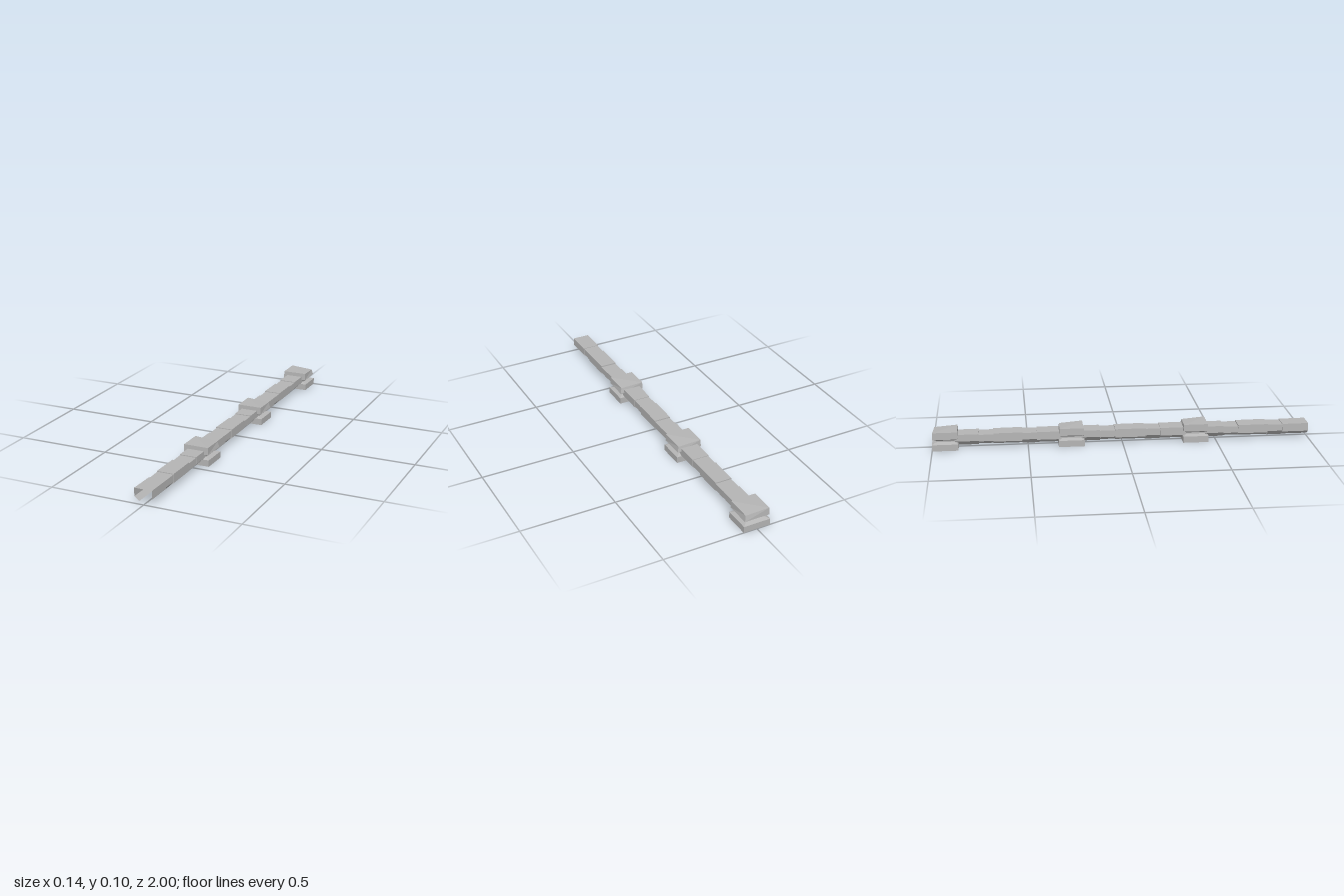
import * as THREE from 'three';

const stone = new THREE.MeshStandardMaterial({ color: 0xb4b4b4, side: THREE.DoubleSide });
stone.name = 'grey stone';

// Skins a list of cross-sections (equal point counts) with flat quads.
function loft(sections, closed) {
  const pos = [];
  for (let s = 0; s < sections.length - 1; s++) {
    const a = sections[s], b = sections[s + 1], n = a.length;
    for (let i = 0; i < (closed ? n : n - 1); i++) {
      const j = (i + 1) % n;
      pos.push(...a[i], ...a[j], ...b[j], ...a[i], ...b[j], ...b[i]);
    }
  }
  const g = new THREE.BufferGeometry();
  g.setAttribute('position', new THREE.Float32BufferAttribute(pos, 3));
  g.computeVertexNormals();
  return g;
}

function part(name, geometry) {
  const m = new THREE.Mesh(geometry, stone);
  m.name = name;
  return m;
}

// Open channel: top slab, upright sides and lower sides leaning inward.
function channel(z, top, half, knee, foot, footY) {
  return [
    [-foot, footY, z], [-half, knee, z], [-half + 0.001, top, z],
    [half - 0.002, top, z], [half - 0.002, knee, z], [foot, footY, z],
  ];
}

// Square ring of a pillar.
const ring = (x, z, y) => [[x, y, z], [x, y, -z], [-x, y, -z], [-x, y, z]];

function pillar() {
  const g = new THREE.Group();
  // Hollow foot with sloping shoulder and narrow neck
  g.add(part('pillarBase', loft([
    ring(0.072, 0.068, 0), ring(0.072, 0.068, 0.034),
    ring(0.05, 0.047, 0.043), ring(0.05, 0.047, 0.05),
  ], true)));
  // Cap, with one worn top corner
  const top = ring(0.066, 0.064, 0.098);
  top[1] = [0.06, 0.09, -0.059];
  const peak = [0, 0.098, 0];
  g.add(part('pillarCap', loft([
    ring(0.05, 0.047, 0.05), ring(0.067, 0.066, 0.06), top, [peak, peak, peak, peak],
  ], true)));
  // Inner ledge under the base
  g.add(part('innerLedge', loft([ring(0.072, 0.068, 0.001), ring(0.06, 0.056, 0.001),
    ring(0.06, 0.056, 0.033)], true)));
  return g;
}

// Course of stones: start, end, top, half width, knee height, foot half width, foot height
const stones = [
  [0, 0.14, 0.079, 0.048, 0.036, 0.022, 0.016],
  [0.14, 0.22, 0.075, 0.044, 0.04, 0.018, 0.013],
  [0.22, 0.38, 0.08, 0.047, 0.034, 0.024, 0.018],
  [0.38, 0.46, 0.073, 0.045, 0.038, 0.022, 0.02],
  [0.46, 0.665, 0.078, 0.047, 0.041, 0.018, 0.014],
];

function wallSection() {
  const g = new THREE.Group();
  const sections = [];
  stones.forEach(([a, b, ...p], i) => {
    const [top, half, knee, foot, footY] = p;
    sections.push(channel(-a, top, half, knee, foot, footY));
    // Each stone tapers slightly toward its far end
    const k = i % 2 ? 0.001 : -0.001;
    sections.push(channel(-b, top + k, half + k, knee, foot + k, footY));
  });
  g.add(part('wallStones', loft(sections, false)));
  return g;
}

export function createModel() {
  const model = new THREE.Group();
  model.name = 'stoneWall';
  for (let i = 0; i < 3; i++) {
    const wall = wallSection();
    wall.name = 'wallSection' + (i + 1);
    wall.position.z = 1 - i * 0.66;
    // The last run stops inside the end pillar
    if (i === 2) wall.scale.z = 0.95;
    model.add(wall);

    const post = pillar();
    post.name = 'pillar' + (i + 1);
    post.position.z = 0.388 - i * 0.66;
    model.add(post);
  }
  return model;
}
